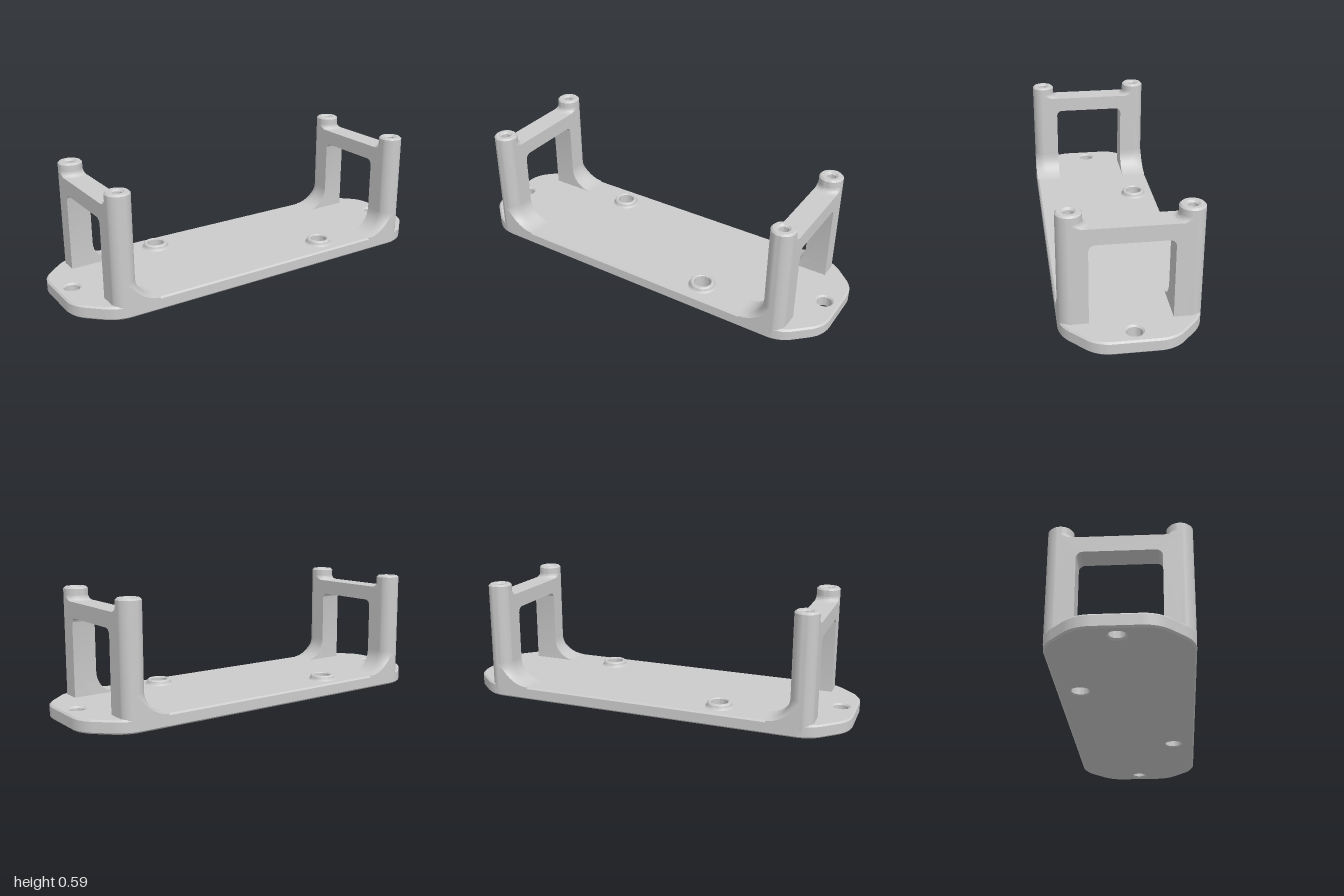
import * as THREE from 'three';
import { toCreasedNormals } from 'three/addons/utils/BufferGeometryUtils.js';

const material = new THREE.MeshStandardMaterial({ color: 0xcccccc });
const PLATE_TOP = 0.065, POST_R = 0.058, POST_Z = 0.262, FRAME_X = 0.79, HALF_DEPTH = 0.32;
const LEG_IN = 0.187, BEAM_TOP = 0.527, FRAME_HALF = 0.0575;

function add(parent, name, geometry, x = 0, y = 0, z = 0) {
  const mesh = new THREE.Mesh(toCreasedNormals(geometry, 0.55), material);
  mesh.name = name;
  mesh.position.set(x, y, z);
  parent.add(mesh);
  return mesh;
}

const lathe = (points, segments = 40) =>
  new THREE.LatheGeometry(points.map(([r, y]) => new THREE.Vector2(r, y)), segments);

// Closed polygon whose corners are softened by a share t of each short edge
function softPolygon(corners, cut) {
  const pts = corners.map(([x, y]) => new THREE.Vector2(x, y));
  const shape = new THREE.Shape();
  pts.forEach((p, i) => {
    const prev = pts[(i + pts.length - 1) % pts.length], next = pts[(i + 1) % pts.length];
    const a = p.clone().add(prev.clone().sub(p).setLength(cut));
    const b = p.clone().add(next.clone().sub(p).setLength(cut));
    if (i === 0) shape.moveTo(a.x, a.y); else shape.lineTo(a.x, a.y);
    shape.quadraticCurveTo(p.x, p.y, b.x, b.y);
  });
  shape.closePath();
  return shape;
}

// Base plate with chamfered corners, edge bevels and four through holes
function plateGeometry(bosses) {
  const shape = softPolygon([
    [1, -0.17], [1, 0.17], [0.84, HALF_DEPTH], [-0.84, HALF_DEPTH],
    [-1, 0.17], [-1, -0.17], [-0.84, -HALF_DEPTH], [0.84, -HALF_DEPTH],
  ], 0.07);
  const holes = [[0.925, 0, 0.036], [-0.925, 0, 0.036], ...bosses.map(([x, z]) => [x, -z, 0.042])];
  for (const [x, y, r] of holes) {
    const hole = new THREE.Path();
    hole.absarc(x, y, r, 0, Math.PI * 2, true);
    shape.holes.push(hole);
  }
  const bevel = 0.008;
  const geometry = new THREE.ExtrudeGeometry(shape, {
    depth: PLATE_TOP - 2 * bevel, bevelThickness: bevel, bevelSize: bevel,
    bevelOffset: -bevel, bevelSegments: 1, curveSegments: 16,
  });
  return geometry.translate(0, 0, bevel).rotateX(-Math.PI / 2);
}

// Two legs and a cross beam with rounded inner corners
function archGeometry() {
  const top = 0.451, r = 0.03, bottom = 0.04;
  const s = new THREE.Shape();
  s.moveTo(-POST_Z, bottom);
  s.lineTo(-LEG_IN, bottom);
  s.lineTo(-LEG_IN, top - r);
  s.absarc(-LEG_IN + r, top - r, r, Math.PI, Math.PI / 2, true);
  s.lineTo(LEG_IN - r, top);
  s.absarc(LEG_IN - r, top - r, r, Math.PI / 2, 0, true);
  s.lineTo(LEG_IN, bottom);
  s.lineTo(POST_Z, bottom);
  s.lineTo(POST_Z, BEAM_TOP);
  s.lineTo(-POST_Z, BEAM_TOP);
  s.closePath();
  const geometry = new THREE.ExtrudeGeometry(s, { depth: 2 * FRAME_HALF, bevelEnabled: false, curveSegments: 8 });
  return geometry.translate(0, 0, -FRAME_HALF).rotateY(Math.PI / 2);
}

// Concave root fillet on the inner (-x) side of a leg, cut off flush with the plate edge
function rootFilletGeometry(side) {
  const R = 0.112, levels = 14, arcSteps = 10, pos = [], index = [];
  let count = 0;
  for (let k = -1; k <= levels; k++) {
    const a = Math.max(k, 0) / levels * Math.PI / 2;
    const f = R * (1 - Math.sin(a));
    const y = k < 0 ? PLATE_TOP - 0.01 : PLATE_TOP + R * (1 - Math.cos(a));
    const r = POST_R + f, end = Math.asin(POST_R / r);
    const ring = [[0, LEG_IN], [-r, LEG_IN]];
    for (let i = 0; i <= arcSteps; i++) {
      const t = end * i / arcSteps;
      ring.push([-r * Math.cos(t), POST_Z + r * Math.sin(t)]);
    }
    ring.push([0, HALF_DEPTH]);
    count = ring.length;
    for (const [x, z] of ring) pos.push(x, y, z * side);
  }
  for (let k = 0; k <= levels; k++) {
    for (let i = 0; i < count - 1; i++) {
      const a = k * count + i, b = a + 1, c = b + count, d = a + count;
      if (side > 0) index.push(a, b, c, a, c, d);
      else index.push(a, c, b, a, d, c);
    }
  }
  const geometry = new THREE.BufferGeometry();
  geometry.setAttribute('position', new THREE.Float32BufferAttribute(pos, 3));
  geometry.setIndex(index);
  return geometry;
}

// Small fillet where a post rises from the beam, trimmed to the beam width
function beamFilletGeometry(side) {
  const R = 0.024, profile = [];
  for (let i = 0; i <= 8; i++) {
    const a = i / 8 * Math.PI / 2;
    profile.push(new THREE.Vector2(POST_R + R * (1 - Math.sin(a)), BEAM_TOP + R * (1 - Math.cos(a))));
  }
  const geometry = new THREE.LatheGeometry(profile, 32, side > 0 ? Math.PI / 2 : -Math.PI / 2, Math.PI);
  const p = geometry.attributes.position;
  for (let i = 0; i < p.count; i++) p.setX(i, THREE.MathUtils.clamp(p.getX(i), -FRAME_HALF, FRAME_HALF));
  return geometry;
}

function createUpright() {
  const upright = new THREE.Group();
  add(upright, 'uprightArch', archGeometry());
  for (const side of [1, -1]) {
    // Round post with chamfered rim and blind screw hole
    add(upright, 'post', lathe([
      [POST_R, 0.03], [POST_R, 0.582], [0.05, 0.59], [0.032, 0.59],
      [0.022, 0.581], [0.022, 0.532], [0, 0.532],
    ]), 0, 0, side * POST_Z);
    add(upright, 'beamFillet', beamFilletGeometry(side), 0, 0, side * POST_Z);
    add(upright, 'rootFillet', rootFilletGeometry(side));
  }
  return upright;
}

export function createModel() {
  const model = new THREE.Group();
  model.name = 'mountingBracket';
  const bosses = [[-0.375, -0.21], [0.37, 0.21]];
  add(model, 'basePlate', plateGeometry(bosses));

  // Raised rings around the two plate holes
  for (const [x, z] of bosses) {
    add(model, 'boss', lathe([
      [0.072, 0.064], [0.066, 0.068], [0.062, 0.075], [0.06, 0.084], [0.054, 0.09],
      [0.047, 0.09], [0.042, 0.085], [0.042, 0.004],
    ]), x, 0, z);
  }

  // One upright at each end, fillets facing the middle
  for (const end of [1, -1]) {
    const upright = createUpright();
    upright.name = end > 0 ? 'leftUpright' : 'rightUpright';
    upright.position.x = end * FRAME_X;
    if (end < 0) upright.rotation.y = Math.PI;
    model.add(upright);
  }
  return model;
}
